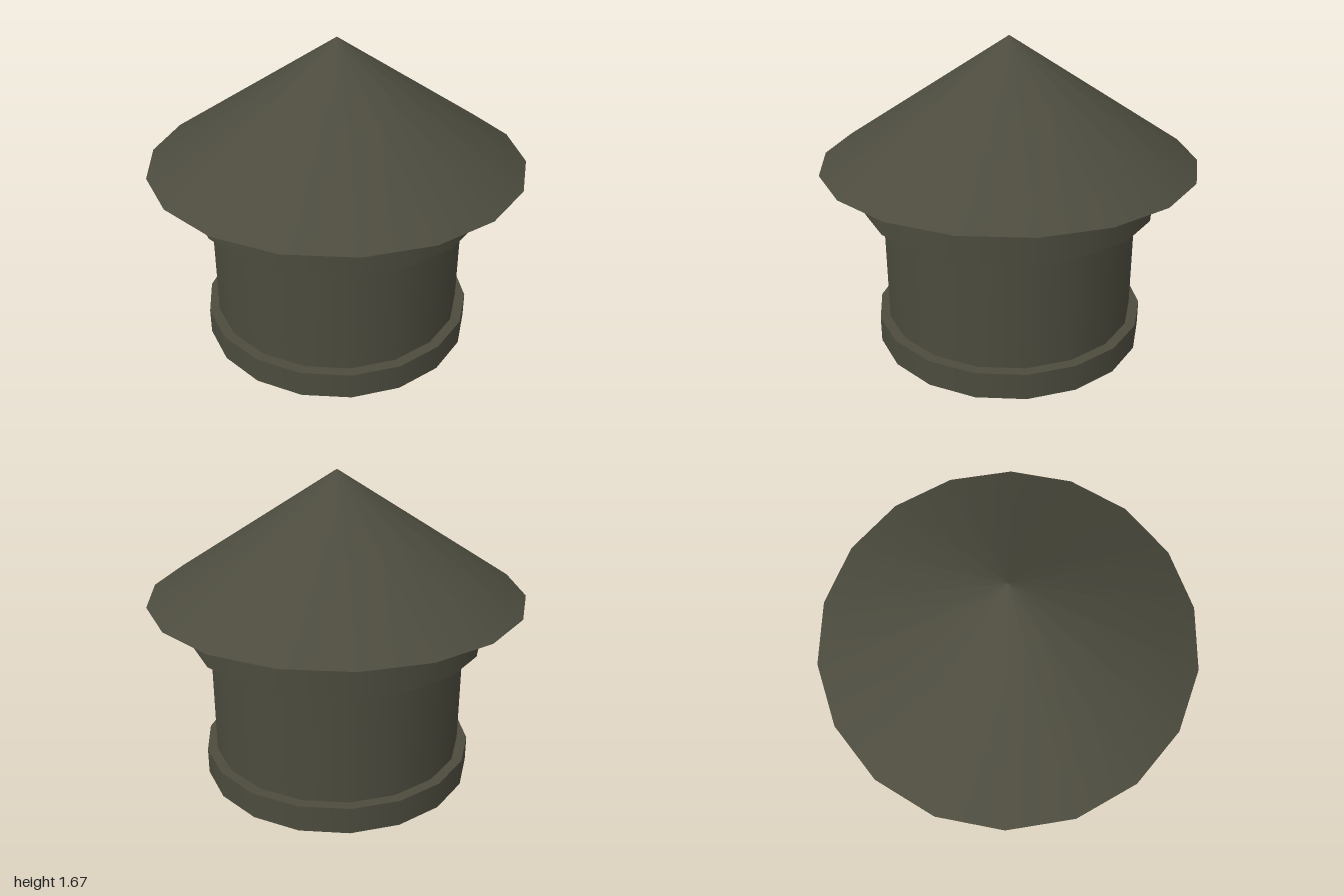
import * as THREE from 'three';

const SIDES = 18;
const TURN = THREE.MathUtils.degToRad(8.9); // slight twist of the facets

export function createModel() {
  const group = new THREE.Group();
  group.name = 'roundHut';

  const olive = new THREE.MeshStandardMaterial({ color: 0x4c4b3e, side: THREE.DoubleSide });
  olive.name = 'dark olive';

  // One smooth band of the open shell, from (r0, y0) to (r1, y1)
  const band = (name, r0, y0, r1, y1) => {
    const profile = [new THREE.Vector2(r0, y0), new THREE.Vector2(r1, y1)];
    const mesh = new THREE.Mesh(new THREE.LatheGeometry(profile, SIDES, TURN), olive);
    mesh.name = name;
    group.add(mesh);
  };

  // Hollow shell, open at the bottom
  band('baseWall', 0.745, 0, 0.745, 0.145);
  band('baseLedge', 0.745, 0.145, 0.69, 0.145);
  band('drumWall', 0.69, 0.145, 0.69, 0.78);
  band('collarUnderside', 0.69, 0.78, 0.785, 0.78);
  band('collarWall', 0.785, 0.78, 0.785, 1.02);

  // Conical roof with overhanging eaves
  band('eaves', 0.785, 1.02, 1, 1.02);
  band('roof', 1, 1.02, 0, 1.672);

  return group;
}
